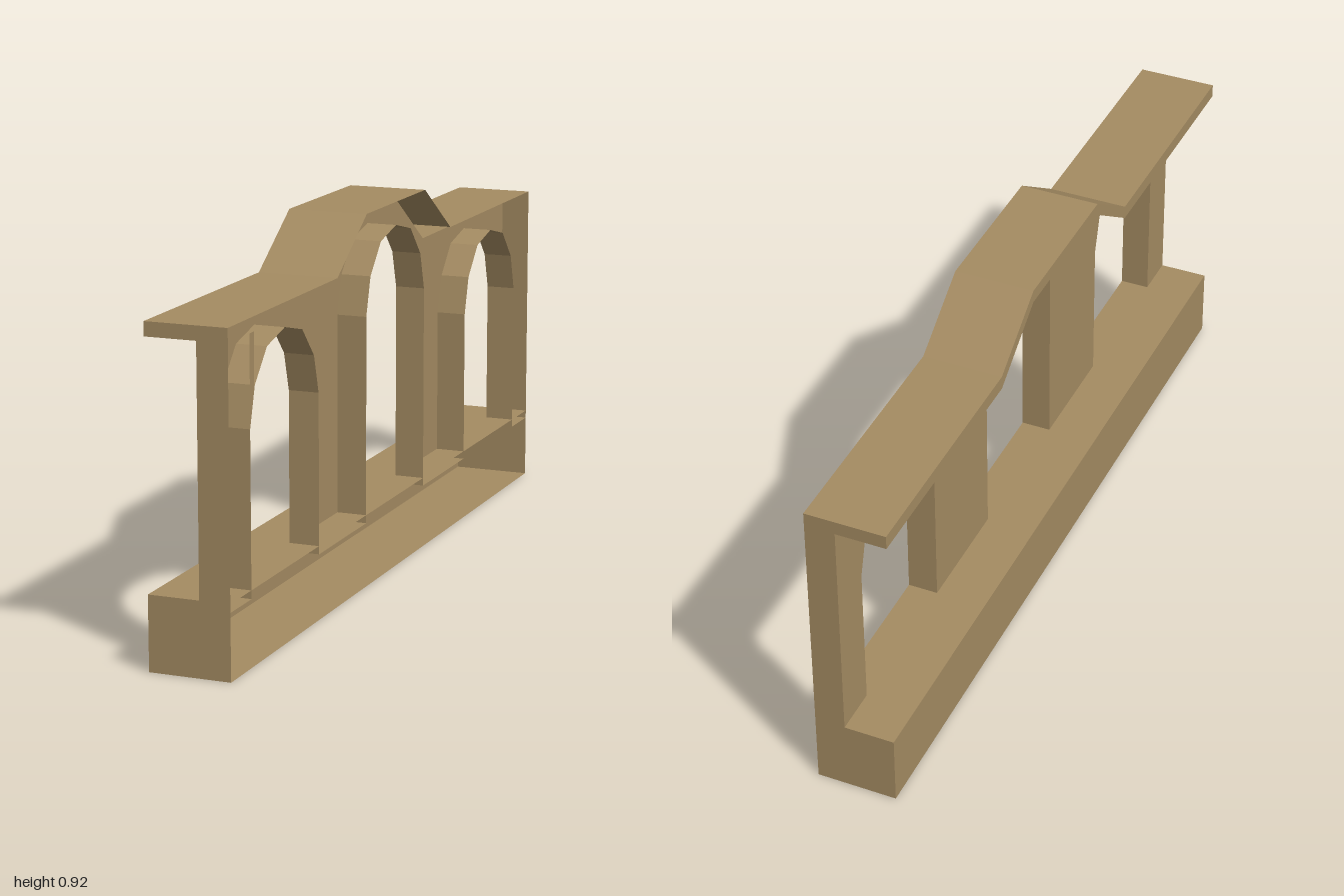
import * as THREE from 'three';

// Sheet panel of an arcade wall, open on its +x side
const OUT = 0.1, WALL = 0.025;
const SILL = 0.18, FOOT = 0.16;

export function createModel() {
  const group = new THREE.Group();
  const stone = new THREE.MeshStandardMaterial({ color: 0xa48b62, side: THREE.DoubleSide, flatShading: true });
  stone.name = 'sandstone';

  const add = (name, geometry) => {
    const mesh = new THREE.Mesh(geometry, stone);
    mesh.name = name;
    group.add(mesh);
    return mesh;
  };

  // Sheet swept along x from a line of [z, y] points
  const ribbon = (name, points, x0, x1) => {
    const pos = [];
    for (let i = 0; i < points.length - 1; i++) {
      const [za, ya] = points[i], [zb, yb] = points[i + 1];
      pos.push(x0, ya, za, x0, yb, zb, x1, yb, zb, x0, ya, za, x1, yb, zb, x1, ya, za);
    }
    const g = new THREE.BufferGeometry();
    g.setAttribute('position', new THREE.Float32BufferAttribute(pos, 3));
    g.computeVertexNormals();
    return add(name, g);
  };

  // Flat plate facing -x, drawn with [z, y] points
  const sidePlate = (name, points, x) => {
    const shape = new THREE.Shape(points.map(p => new THREE.Vector2(...p)));
    return add(name, new THREE.ShapeGeometry(shape).rotateY(-Math.PI / 2).translate(x, 0, 0));
  };

  // Roof lines with the raised middle, from +z to -z
  const roofLine = (low, high) => [[1, low], [0.38, low], [0.196, high], [-0.196, high], [-0.38, low], [-1, low]];
  const top = roofLine(0.797, 0.92), under = roofLine(0.763, 0.888);

  // Faceted arch outlines, from +z to -z
  const arch = (z, lift) => [
    [0.195, FOOT - lift], [0.195, 0.548], [0.168, 0.642], [0.1, 0.716], [0, 0.74],
    [-0.1, 0.716], [-0.168, 0.642], [-0.195, 0.548], [-0.195, FOOT - lift],
  ].map(([dz, y]) => [z + dz, y + lift]);
  const arches = [arch(0.691, 0), arch(0.004, 0.123), arch(-0.688, 0)];

  // Hollow plinth
  ribbon('plinthTop', [[1, SILL], [-1, SILL]], -OUT, OUT);
  ribbon('plinthBottom', [[-1, 0], [1, 0]], -OUT, OUT);
  sidePlate('plinthFace', [[-1, 0], [1, 0], [1, SILL], [-1, SILL]], -OUT);

  // Wall sheet cut by the three arches
  sidePlate('wall', [[1, FOOT], ...arches.flat(), [-1, FOOT], ...[...under].reverse()], WALL);
  arches.forEach(a => ribbon('archReveal', a, WALL, OUT));

  // Closed feet of the piers
  const edges = [1, ...arches.flatMap(a => [a[0][0], a[8][0]]), -1];
  for (let i = 0; i < edges.length; i += 2) {
    ribbon('pierFoot', [[edges[i + 1], FOOT], [edges[i], FOOT]], WALL, OUT);
  }

  // Roof slab: top, soffit and outer edge
  ribbon('roofTop', top, -OUT, OUT);
  ribbon('roofSoffit', [...under].reverse(), -OUT, WALL);
  sidePlate('roofEdge', [...top, ...[...under].reverse()], -OUT);

  // Narrow strip beside the first arch
  sidePlate('archStrip', [[0.886, 0.763], [0.886, 0.548], [0.862, 0.635], [0.862, 0.763]], OUT);

  // C-shaped end plates
  const profile = [
    [-OUT, 0], [OUT, 0], [OUT, 0.797], [-OUT, 0.797],
    [-OUT, 0.763], [WALL, 0.763], [WALL, SILL], [-OUT, SILL],
  ].map(p => new THREE.Vector2(...p));
  for (const side of [1, -1]) {
    const end = add('endPlate', new THREE.ShapeGeometry(new THREE.Shape(profile)));
    end.position.z = side;
  }
  return group;
}
